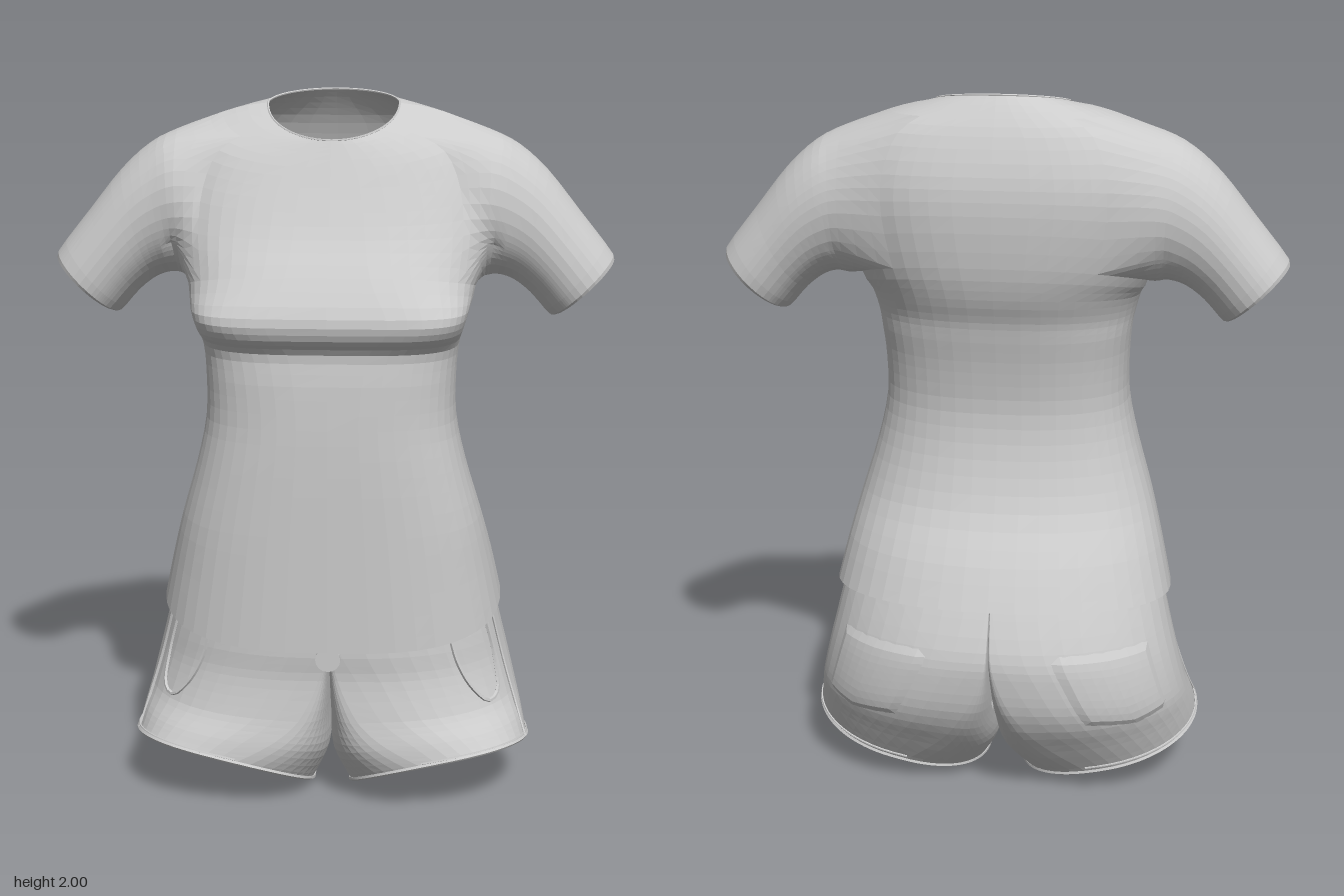
import * as THREE from 'three';

const fabric = new THREE.MeshStandardMaterial({ color: 0xcccccc, flatShading: true, side: THREE.DoubleSide });
const { lerp, degToRad } = THREE.MathUtils;
const spow = (v, p) => Math.sign(v) * Math.pow(Math.abs(v), p);

// Smoothly sample a table of rows at fractional row number v
function sampleRows(rows, v) {
  const i = Math.min(Math.floor(v), rows.length - 2), t = v - i;
  const a = rows[Math.max(i - 1, 0)], b = rows[i], c = rows[i + 1], d = rows[Math.min(i + 2, rows.length - 1)];
  return b.map((_, k) => {
    const m0 = (c[k] - a[k]) / 2, m1 = (d[k] - b[k]) / 2;
    return (2 * t ** 3 - 3 * t * t + 1) * b[k] + (t ** 3 - 2 * t * t + t) * m0
      + (3 * t * t - 2 * t ** 3) * c[k] + (t ** 3 - t * t) * m1;
  });
}

// Grid surface from point(i, j), with optional quads left out by skip(i, j, corner)
function surface(name, point, nu, nv, skip = () => false) {
  const pos = [], index = [], pts = [];
  for (let j = 0; j <= nv; j++) {
    for (let i = 0; i <= nu; i++) {
      const p = point(i, j);
      pts.push(p);
      pos.push(p.x, p.y, p.z);
    }
  }
  for (let j = 0; j < nv; j++) {
    for (let i = 0; i < nu; i++) {
      const a = j * (nu + 1) + i, b = a + 1, c = a + nu + 1, d = c + 1;
      if (skip(i, j, pts[a])) continue;
      index.push(a, c, b, b, c, d);
    }
  }
  const geo = new THREE.BufferGeometry();
  geo.setAttribute('position', new THREE.Float32BufferAttribute(pos, 3));
  geo.setIndex(index);
  geo.computeVertexNormals();
  const mesh = new THREE.Mesh(geo, fabric);
  mesh.name = name;
  return mesh;
}

function seam(name, points, radius = 0.004, closed = false) {
  const curve = new THREE.CatmullRomCurve3(points, closed);
  const mesh = new THREE.Mesh(new THREE.TubeGeometry(curve, points.length * 4, radius, 5, closed), fabric);
  mesh.name = name;
  return mesh;
}

// Shirt body rows: half width, y side, y front, y back, z front, z back, front and back squareness
const BODY = [
  [0.485, 0.59, 0.50, 0.62, 0.33, -0.35, 0.7, 0.92],
  [0.455, 0.72, 0.66, 0.73, 0.33, -0.295, 0.7, 0.92],
  [0.42, 0.85, 0.83, 0.86, 0.33, -0.215, 0.7, 0.9],
  [0.375, 1.0, 1.0, 1.0, 0.33, -0.17, 0.7, 0.85],
  [0.347, 1.13, 1.13, 1.13, 0.328, -0.155, 0.7, 0.8],
  [0.345, 1.25, 1.25, 1.25, 0.323, -0.17, 0.65, 0.8],
  [0.352, 1.34, 1.335, 1.34, 0.318, -0.19, 0.58, 0.8],
  [0.362, 1.39, 1.38, 1.40, 0.36, -0.205, 0.45, 0.8],
  [0.376, 1.44, 1.44, 1.47, 0.37, -0.235, 0.43, 0.8],
  [0.395, 1.485, 1.54, 1.56, 0.315, -0.258, 0.62, 0.75],
  [0.42, 1.64, 1.63, 1.70, 0.25, -0.27, 0.72, 0.7],
  [0.415, 1.79, 1.73, 1.80, 0.195, -0.26, 0.78, 0.7],
  [0.37, 1.91, 1.81, 1.90, 0.155, -0.225, 0.85, 0.75],
  [0.27, 1.955, 1.86, 1.96, 0.13, -0.19, 0.95, 0.9],
  [0.18, 1.97, 1.88, 2.0, 0.12, -0.16, 1, 1],
];
const BODY_NU = 48, BODY_NV = 42;
// Column i runs round from the centre back
function bodyPoint(i, j) {
  const [w, ys, yf, yb, zf, zb, pf, pb] = sampleRows(BODY, j / 3);
  const a = i / BODY_NU * Math.PI * 2 - Math.PI / 2, c = Math.cos(a), s = Math.sin(a), p = s > 0 ? pf : pb;
  const zm = (zf + zb) / 2;
  return new THREE.Vector3(w * spow(c, p), lerp(ys, s > 0 ? yf : yb, Math.abs(s)),
    zm + (zf - zm) * spow(s, p));
}

// Armhole: a block of left-out body quads whose edge starts the sleeve
const HOLE = { i0: 5, i1: 17, j0: 27, j1: 38 };
const inBlock = (i, j) => i >= HOLE.i0 && i < HOLE.i1 && j >= HOLE.j0 && j < HOLE.j1;
const inArmhole = (i, j) => inBlock(i, j) || inBlock(BODY_NU - 1 - i, j);
function armholeLoop() {
  const { i0, i1, j0, j1 } = HOLE, loop = [];
  for (let i = i0; i < i1; i++) loop.push(bodyPoint(i, j0));
  for (let j = j0; j < j1; j++) loop.push(bodyPoint(i1, j));
  for (let i = i1; i > i0; i--) loop.push(bodyPoint(i, j1));
  for (let j = j1; j >= j0; j--) loop.push(bodyPoint(i0, j));
  return loop;
}

// Sleeve rows: top x, top y, bottom x, bottom y, z centre, half depth; the last two fold inside the cuff
const SLEEVE = [
  [0.43, 1.90, 0.42, 1.495, -0.035, 0.167],
  [0.51, 1.86, 0.455, 1.50, -0.037, 0.155],
  [0.59, 1.79, 0.50, 1.487, -0.037, 0.145],
  [0.68, 1.68, 0.55, 1.45, -0.033, 0.137],
  [0.775, 1.56, 0.605, 1.39, -0.03, 0.13],
  [0.755, 1.555, 0.61, 1.41, -0.03, 0.112],
  [0.70, 1.62, 0.57, 1.45, -0.03, 0.115],
];
function makeSleeve(name) {
  const loop = armholeLoop();
  // Each strip runs from one armhole point down the sleeve
  const strips = loop.map((p) => {
    const a = Math.atan2((p.y - 1.7) / 0.22, (p.z + 0.03) / 0.19), k = (1 + Math.sin(a)) / 2;
    return [p.toArray(), ...SLEEVE.map(([tx, ty, bx, by, zm, d]) =>
      [lerp(bx, tx, k), lerp(by, ty, k), zm + d * Math.cos(a)])];
  });
  return surface(name, (i, j) => new THREE.Vector3(...sampleRows(strips[i], j / 3)),
    loop.length - 1, SLEEVE.length * 3);
}

// Shorts rows: centre x, inner x, outer x, y inner, y outer, z front, z back, inner squareness
const LEG = [
  [0, 0, 0.45, 0.66, 0.66, 0.28, -0.29, 0.12],
  [0.03, 0, 0.487, 0.5, 0.5, 0.295, -0.355, 0.12],
  [0.08, 0, 0.512, 0.4, 0.4, 0.287, -0.36, 0.2],
  [0.15, 0, 0.537, 0.27, 0.3, 0.298, -0.335, 0.4],
  [0.24, 0.005, 0.555, 0.13, 0.23, 0.313, -0.26, 0.6],
  [0.31, 0.055, 0.568, 0.01, 0.17, 0.322, -0.19, 0.85],
];
function legPoint(deg, row, lift = 0) {
  const [cx, xi, xo, yi, yo, zf, zb, pi] = sampleRows(LEG, row);
  const a = degToRad(deg), c = Math.cos(a), s = Math.sin(a);
  const p = c < 0 ? pi : s > 0 ? 0.92 : 0.97, zm = (zf + zb) / 2;
  const x = Math.max(0, cx + (c < 0 ? cx - xi : xo - cx) * spow(c, p));
  const t = Math.max(0, (x - xi) / (xo - xi));
  const y = lerp(yi, yo, t ** 0.6) + (s > 0 ? 0.06 : 0.04) * s * Math.max(0, row - 3) / 2;
  return new THREE.Vector3(x + lift * c, y, zm + (zf - zm) * spow(s, p) + lift * s);
}
const legPath = (pairs) => pairs.map(([deg, row]) => legPoint(deg, row, 0.002));
// The two halves are open to each other above the crotch
const betweenHalves = (i, j, p) => p.x < 0.006 && p.y > 0.3 && Math.abs(p.z + 0.03) < 0.2;

function makeLeg() {
  const leg = new THREE.Group();
  leg.add(surface('shortsLeg', (i, j) => legPoint(i * 7.5, j * 0.25), 48, 20, betweenHalves));
  // Hem edge and the stitch line above it
  const around = Array.from({ length: 32 }, (_, i) => i * 11.25);
  leg.add(seam('legHem', around.map((d) => legPoint(d, 4.97)), 0.006, true));
  leg.add(seam('hemStitch', legPath(Array.from({ length: 20 }, (_, i) => [-95 + i * 10, 4.75])), 0.003));
  // Side seam, front pocket and back pocket
  leg.add(seam('sideSeam', legPath([[18, 0.5], [18, 2], [17, 3.5], [16, 4.95]])));
  leg.add(seam('frontPocketEdge', legPath([[49, 0.6], [49, 1.6], [46, 2.4], [39, 2.85], [31, 2.7], [26, 1.8], [26, 0.6]]), 0.006));
  leg.add(surface('backPocket', (i, j) => {
    const edge = i % 10 === 0 || j % 10 === 0;
    return legPoint(-74 + 4.6 * i, lerp(1, 3.1 + 0.25 * (1 - Math.abs(i / 5 - 1)), j / 10), edge ? -0.002 : 0.006);
  }, 10, 10));
  return leg;
}

export function createModel() {
  const model = new THREE.Group();

  // Shirt
  const shirt = new THREE.Group();
  shirt.name = 'shirt';
  shirt.add(surface('shirtBody', bodyPoint, BODY_NU, BODY_NV, inArmhole));
  const neck = Array.from({ length: 24 }, (_, i) => bodyPoint(i * 2, BODY_NV));
  shirt.add(seam('neckline', neck, 0.003, true));

  // Shorts with button
  const shorts = new THREE.Group();
  shorts.name = 'shorts';
  const button = new THREE.Mesh(new THREE.CylinderGeometry(0.035, 0.035, 0.025, 16), fabric);
  button.name = 'button';
  button.rotation.x = Math.PI / 2;
  button.position.set(0, 0.472, 0.296);
  shorts.add(button);

  // Mirrored halves
  for (const side of [1, -1]) {
    const sleeve = makeSleeve(side > 0 ? 'leftSleeve' : 'rightSleeve');
    sleeve.scale.x = side;
    shirt.add(sleeve);
    const leg = makeLeg();
    leg.name = side > 0 ? 'leftLeg' : 'rightLeg';
    leg.scale.x = side;
    shorts.add(leg);
  }
  model.add(shirt, shorts);
  return model;
}
